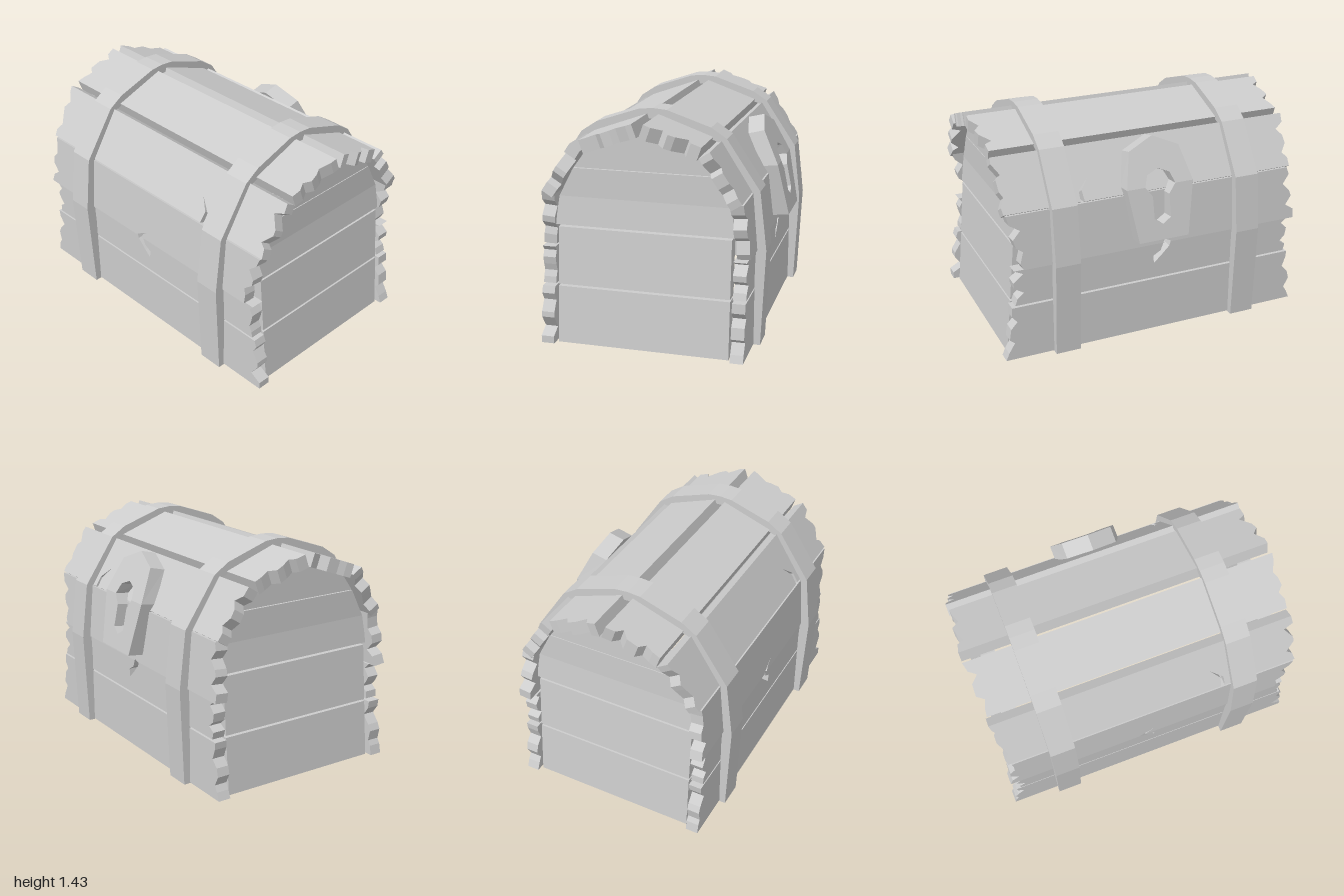
import * as THREE from 'three';

// Small seeded generator for the splintered plank ends
let seed = 11;
const rnd = () => (seed = (seed * 16807) % 2147483647) / 2147483647;

const shapeOf = pts => new THREE.Shape(pts.map(p => new THREE.Vector2(p[0], p[1])));
const extrude = (pts, depth) =>
  new THREE.ExtrudeGeometry(shapeOf(pts), { depth, bevelEnabled: false });
// Right half profile (bottom to top) to a whole outline, right to left
const mirrored = half => [...half, ...half.filter(p => p[0] > 0).reverse().map(([x, y]) => [-x, y])];

// a, b: outer bottom and top edge (x, y); front/back: end z at bottom and top;
// low/high: cracks in the bottom/top edge as (z, height) points;
// splinter: patch behind a crack as z range and height range
const planks = [
  { name: 'lower side plank', a: [0.625, 0.015], b: [0.625, 0.367], t: 0.08, front: [1, 0.95], back: [1, 0.96] },
  { name: 'upper side plank', a: [0.625, 0.38], b: [0.625, 0.612], t: 0.08, front: [0.93, 0.93], back: [0.93, 0.94],
    high: [[-0.05, 0.232], [-0.03, 0.18], [0.02, 0.15], [0.015, 0.1], [-0.03, 0.14], [-0.09, 0.2], [-0.1, 0.232]],
    splinter: [-0.12, 0.05, 0.06, 0.25] },
  { name: 'lower lid plank', a: [0.638, 0.615], b: [0.608, 0.963], t: 0.08, front: [0.87, 0.96], back: [0.98, 0.93],
    low: [[-0.1, 0], [0.02, 0.065], [-0.03, 0.03], [-0.05, 0]], splinter: [-0.12, 0.05, 0.01, 0.09] },
  { name: 'middle lid plank', a: [0.602, 0.97], b: [0.415, 1.264], t: 0.075, front: [0.97, 0.98], back: [0.95, 0.98],
    low: [[0.465, 0], [0.47, 0.07], [0.41, 0.15], [0.49, 0.07], [0.49, 0]], splinter: [0.39, 0.51, 0, 0.17] },
  { name: 'top lid plank', a: [0.365, 1.285], b: [0.035, 1.403], t: 0.085, front: [0.97, 1], back: [0.97, 1] },
];

// Splintered end running from the bottom edge to the top edge
function jaggedEnd([z0, z1], width) {
  const pts = [], n = Math.max(6, Math.round(width / 0.05));
  for (let i = 0; i <= n; i++) {
    let k = i / n, z = z0 + (z1 - z0) * k;
    if (i > 0 && i < n) {
      z += i % 3 === 2 ? -0.02 - 0.04 * rnd() : 0.025 * (rnd() - 0.6);
      k += (rnd() - 0.5) * 0.09;
    }
    pts.push([Math.min(z, 1), k * width]);
  }
  return pts;
}

// Outline of (z, height up the plank) points, laid at the given depth below the plank's outer face
function layOnPlank({ a, b }, outline, side, top, thickness) {
  const geo = extrude(outline.map(([z, u]) => [-z * side, u]), thickness);
  geo.translate(0, 0, -top - thickness);
  const up = new THREE.Vector3(b[0] - a[0], b[1] - a[1], 0).normalize();
  const along = new THREE.Vector3(0, 0, -1);
  const out = new THREE.Vector3().crossVectors(along, up);
  geo.applyMatrix4(new THREE.Matrix4().makeBasis(along, up, out).setPosition(a[0], a[1], 0));
  return side < 0 ? geo.rotateY(Math.PI) : geo;
}

function plankOutline({ a, b, front, back, low = [], high = [] }) {
  const width = Math.hypot(b[0] - a[0], b[1] - a[1]);
  return [
    ...jaggedEnd(back, width).reverse().map(([z, u]) => [-z, u]),
    ...low,
    ...jaggedEnd(front, width),
    ...high,
  ];
}

// Half of the lock plate, bent so that x follows the height
function lockGeometry(pts) {
  const t = 0.1, geo = extrude(pts, t);
  const p = geo.attributes.position;
  for (let i = 0; i < p.count; i++) {
    const z = p.getX(i), y = p.getY(i), d = p.getZ(i) - t;
    const x = y < 1.02 ? 0.735 - (y - 0.69) * 0.206 : 0.667 - (y - 1.02) * 0.49;
    p.setXYZ(i, x + d, y - d * (y < 1.02 ? -0.12 : -0.25), -z);
  }
  geo.computeVertexNormals();
  return geo;
}

// End board leaning inwards up to the spring of the lid, upright above it
function endBoardGeometry(half) {
  const geo = extrude(mirrored(half), 0.09).translate(0, 0, 0.875);
  const p = geo.attributes.position;
  for (let i = 0; i < p.count; i++) p.setZ(i, p.getZ(i) - 0.09 * Math.min(p.getY(i), 0.92));
  geo.computeVertexNormals();
  return geo;
}

export function createModel() {
  const model = new THREE.Group();
  model.name = 'chest';
  const body = new THREE.Group();
  body.name = 'chestBody';
  body.position.x = -0.025;
  model.add(body);

  const grey = new THREE.MeshStandardMaterial({ color: 0xcccccc });
  grey.name = 'plain grey';
  const add = (name, geo) => {
    const mesh = new THREE.Mesh(geo, grey);
    mesh.name = name;
    body.add(mesh);
  };

  // Side and lid planks, with splinters left behind the cracks
  for (const plank of planks)
    for (const side of [1, -1]) {
      const label = side > 0 ? 'left ' : 'right ';
      add(label + plank.name, layOnPlank(plank, plankOutline(plank), side, 0, plank.t));
      if (plank.splinter) {
        const [z0, z1, u0, u1] = plank.splinter;
        const patch = [[z0, u0], [z1, u0], [z1, u1], [z0, u1]];
        add(label + 'splinter', layOnPlank(plank, patch, side, plank.t - 0.005, 0.015));
      }
    }

  // End walls, built of boards from the ground up to the lid
  const boards = [
    [[0.53, 0.015], [0.53, 0.367]],
    [[0.53, 0.38], [0.53, 0.732]],
    [[0.55, 0.745], [0.525, 0.92]],
    [[0.525, 0.92], [0.435, 1.095]],
    [[0.43, 1.1], [0.35, 1.21], [0.08, 1.31], [0, 1.318]],
  ];
  for (const half of boards) {
    add('frontEndBoard', endBoardGeometry(half));
    add('backEndBoard', endBoardGeometry(half).rotateY(Math.PI));
  }

  // Two straps over the lid and down the sides
  const outer = [[0.665, 0.01], [0.692, 0.615], [0.65, 0.975], [0.4475, 1.277], [0.352, 1.34], [0.084, 1.43], [0, 1.437]];
  const inner = [[0.605, 0.01], [0.63, 0.615], [0.6, 0.965], [0.41, 1.25], [0.33, 1.28], [0.07, 1.373], [0, 1.375]];
  for (const z of [0.61, -0.61])
    add('strap', extrude([...mirrored(outer), ...mirrored(inner).reverse()], 0.16).translate(0, 0, z - 0.08));

  // Lock plate with a keyhole, split at its bend
  const upperOuter = [[0.22, 1.02], [0.165, 1.225], [0, 1.295]];
  const upperHole = [[0.1, 1.02], [0.075, 1.085], [0, 1.115]];
  const lowerOuter = [[-0.22, 1.02], [-0.165, 0.69], [0.165, 0.69], [0.22, 1.02]];
  const lowerHole = [[0.1, 1.02], [0.055, 0.96], [0.055, 0.82], [0, 0.785], [-0.055, 0.82], [-0.055, 0.96], [-0.1, 1.02]];
  add('lockPlateTop', lockGeometry([...mirrored(upperOuter), ...mirrored(upperHole).reverse()]));
  add('lockPlateBottom', lockGeometry([...lowerOuter, ...lowerHole]));

  return model;
}
